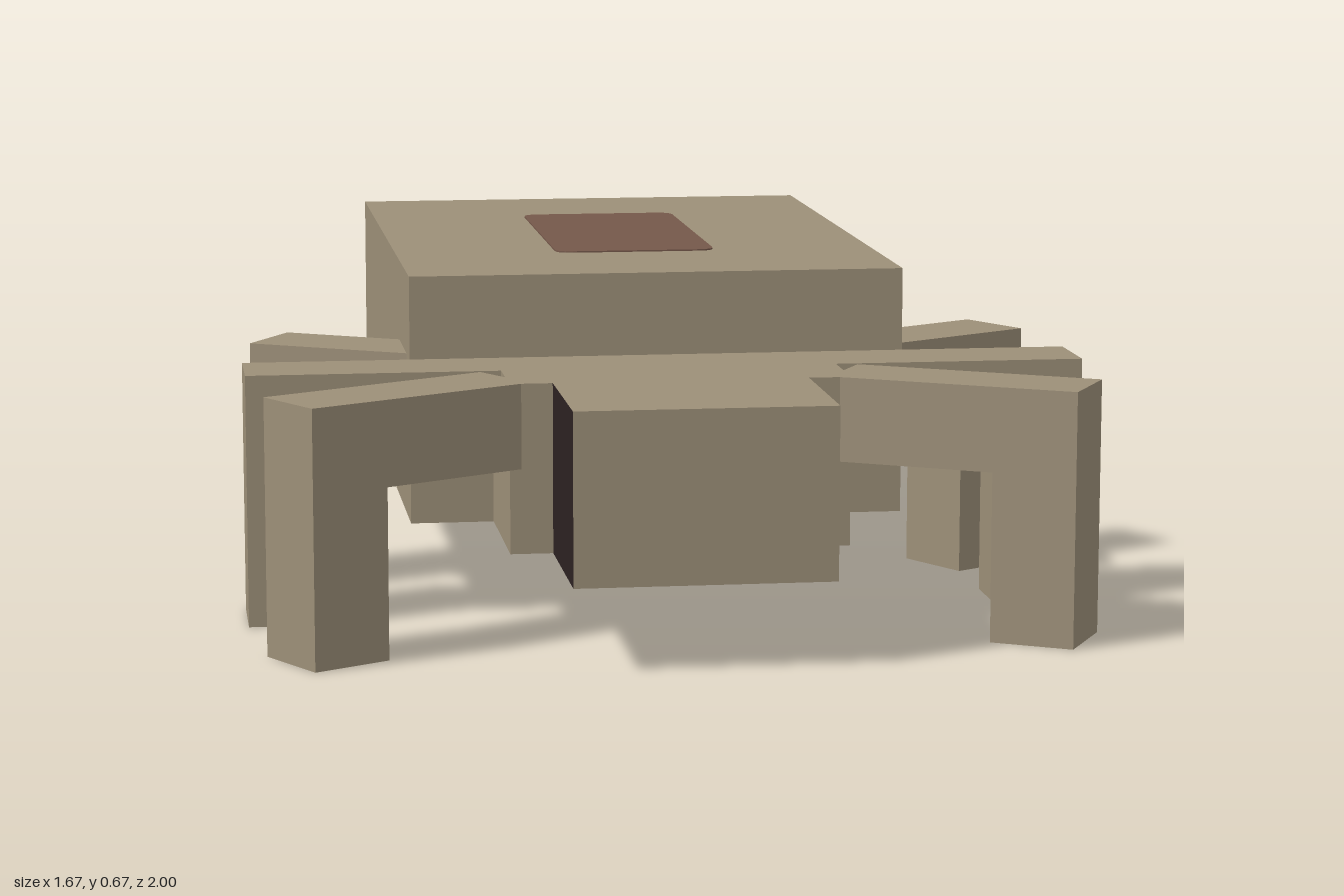
import * as THREE from 'three';

const U = 1 / 12; // modelling unit

const tan = new THREE.MeshStandardMaterial({ color: 0x9c8f78 });
tan.name = 'tan';
const brown = new THREE.MeshStandardMaterial({ color: 0x75584a });
brown.name = 'brown';
const dark = new THREE.MeshStandardMaterial({ color: 0x2c2222 });
dark.name = 'dark brown';

// Box given by its lower and upper corners, in modelling units
function block(name, [x0, y0, z0], [x1, y1, z1], material = tan) {
  const geometry = new THREE.BoxGeometry((x1 - x0) * U, (y1 - y0) * U, (z1 - z0) * U);
  geometry.translate((x0 + x1) * U / 2, (y0 + y1) * U / 2, (z0 + z1) * U / 2);
  const mesh = new THREE.Mesh(geometry, material);
  mesh.name = name;
  return mesh;
}

// Bent leg: horizontal arm from the hip, then a square foot down to the ground
function leg(name, side, hipZ, angle, sole) {
  const group = new THREE.Group();
  group.name = name;
  group.add(
    block('arm', [0, 4, -1], [6, 6, 1]),
    block('foot', [4, 0, -1], [6, 4, 1], [tan, tan, tan, sole, tan, tan])
  );
  group.position.set(side * 4 * U, 0, hipZ * U);
  group.rotation.y = side > 0 ? angle : Math.PI - angle;
  return group;
}

// Thin rounded plate lying on the abdomen
function backPatch() {
  const w = 2 * U, l = 4 * U, r = 0.035;
  const shape = new THREE.Shape();
  shape.moveTo(-w + r, -l);
  shape.lineTo(w - r, -l);
  shape.quadraticCurveTo(w, -l, w, -l + r);
  shape.lineTo(w, l - r);
  shape.quadraticCurveTo(w, l, w - r, l);
  shape.lineTo(-w + r, l);
  shape.quadraticCurveTo(-w, l, -w, l - r);
  shape.lineTo(-w, -l + r);
  shape.quadraticCurveTo(-w, -l, -w + r, -l);
  const geometry = new THREE.ExtrudeGeometry(shape, { depth: 0.003, bevelEnabled: false, curveSegments: 4 });
  geometry.rotateX(-Math.PI / 2);
  const mesh = new THREE.Mesh(geometry, brown);
  mesh.name = 'backPatch';
  mesh.position.set(0, 8 * U, -4 * U);
  return mesh;
}

export function createModel() {
  const model = new THREE.Group();
  model.name = 'spider';

  // Body, with dark cheeks on the head
  model.add(
    block('abdomen', [-6, 2, -12], [6, 8, 4]),
    block('thorax', [-4, 2, 4], [4, 6, 8]),
    block('head', [-3, 2, 8], [3, 6, 12], [dark, dark, tan, tan, tan, tan]),
    backPatch()
  );

  // Three pairs of legs, fanned out
  const tilt = Math.PI / 6;
  for (const [suffix, side] of [['Left', 1], ['Right', -1]]) {
    model.add(
      leg('frontLeg' + suffix, side, 7, -tilt, brown),
      leg('middleLeg' + suffix, side, 5, 0, side > 0 ? brown : tan),
      leg('rearLeg' + suffix, side, 3, tilt, tan)
    );
  }
  return model;
}
